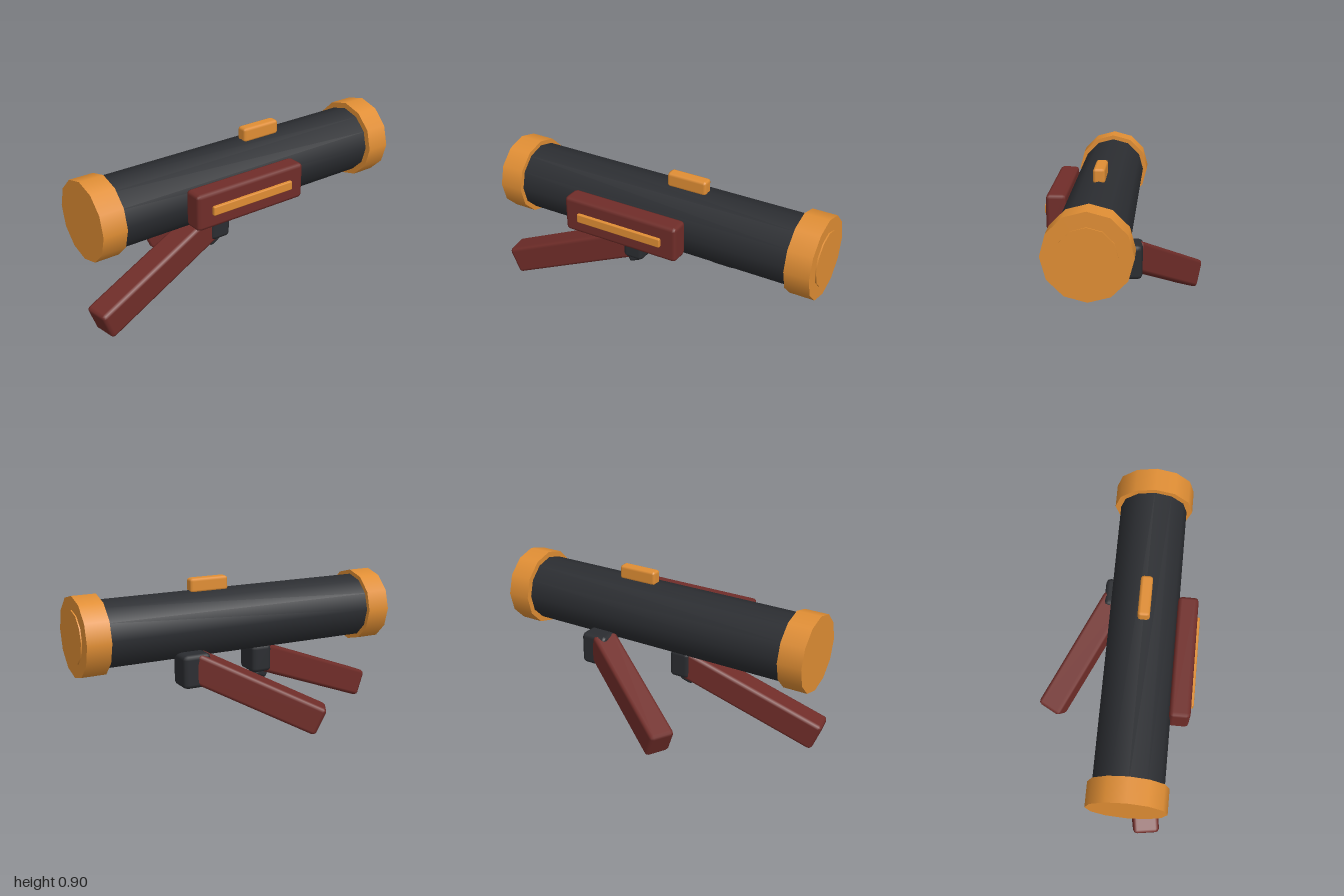
import * as THREE from 'three';
import { RoundedBoxGeometry } from 'three/addons/geometries/RoundedBoxGeometry.js';

const AXIS_X = 0.133, AXIS_Y = 0.645;

export function createModel() {
  const group = new THREE.Group();
  const dark = new THREE.MeshStandardMaterial({ color: 0x2b2d31 });
  const red = new THREE.MeshStandardMaterial({ color: 0x702d29 });
  const orange = new THREE.MeshStandardMaterial({ color: 0xe08e34 });

  const add = (name, geometry, material, x, y, z) => {
    const mesh = new THREE.Mesh(geometry, material);
    mesh.name = name;
    mesh.position.set(x, y, z);
    group.add(mesh);
    return mesh;
  };

  // Twelve-sided cylinder lying along z between two depths
  const barrel = (name, radius, z0, z1, material) => {
    const geometry = new THREE.CylinderGeometry(radius, radius, z1 - z0, 12).rotateX(Math.PI / 2);
    return add(name, geometry, material, AXIS_X, AXIS_Y, (z0 + z1) / 2);
  };

  // Box with one-step bevelled edges
  const block = (name, size, bevel, material, x, y, z) =>
    add(name, new RoundedBoxGeometry(...size, 1, bevel), material, x, y, z);

  // Tube with its end rings
  barrel('tube', 0.196, -0.88, 0.9, dark);
  barrel('frontRing', 0.222, 0.825, 0.965, orange);
  barrel('rearRing', 0.23, -0.99, -0.85, orange);
  barrel('rearDisc', 0.153, -0.995, -0.98, orange).scale.z = 1.3;

  // Sight on top and box on the side
  block('topSight', [0.068, 0.085, 0.24], 0.017, orange, AXIS_X, 0.868, -0.175);
  block('sideBox', [0.115, 0.21, 0.71], 0.022, red, 0.377, 0.645, 0.095);
  block('sideTrim', [0.026, 0.052, 0.53], 0.006, orange, 0.439, 0.645, 0.095);

  // Legs: a hinge block under the tube, a pivot and a slanted bar
  const legs = [
    { name: 'left', hinge: [0.135, 0.395, 0.147], size: [0.18, 0.17, 0.127],
      top: [0.127, 0.402, 0.15], foot: [0.255, 0.083, 0.968], pivot: [0.14, 0.305, 0.172] },
    { name: 'right', hinge: [-0.028, 0.422, -0.353], size: [0.165, 0.195, 0.17],
      top: [-0.03, 0.445, -0.345], foot: [-0.381, 0.117, 0.288], pivot: [-0.02, 0.365, -0.36] },
  ];
  for (const leg of legs) {
    const top = new THREE.Vector3(...leg.top);
    const foot = new THREE.Vector3(...leg.foot);
    block(leg.name + 'Hinge', leg.size, 0.026, dark, ...leg.hinge);

    const middle = top.clone().add(foot).multiplyScalar(0.5);
    const bar = block(leg.name + 'Leg', [0.15, 0.17, top.distanceTo(foot)], 0.022, red, ...middle.toArray());
    bar.lookAt(foot);

    const pivot = block(leg.name + 'Pivot', [0.09, 0.08, 0.085], 0.018, dark, ...leg.pivot);
    pivot.quaternion.copy(bar.quaternion);
  }
  return group;
}
